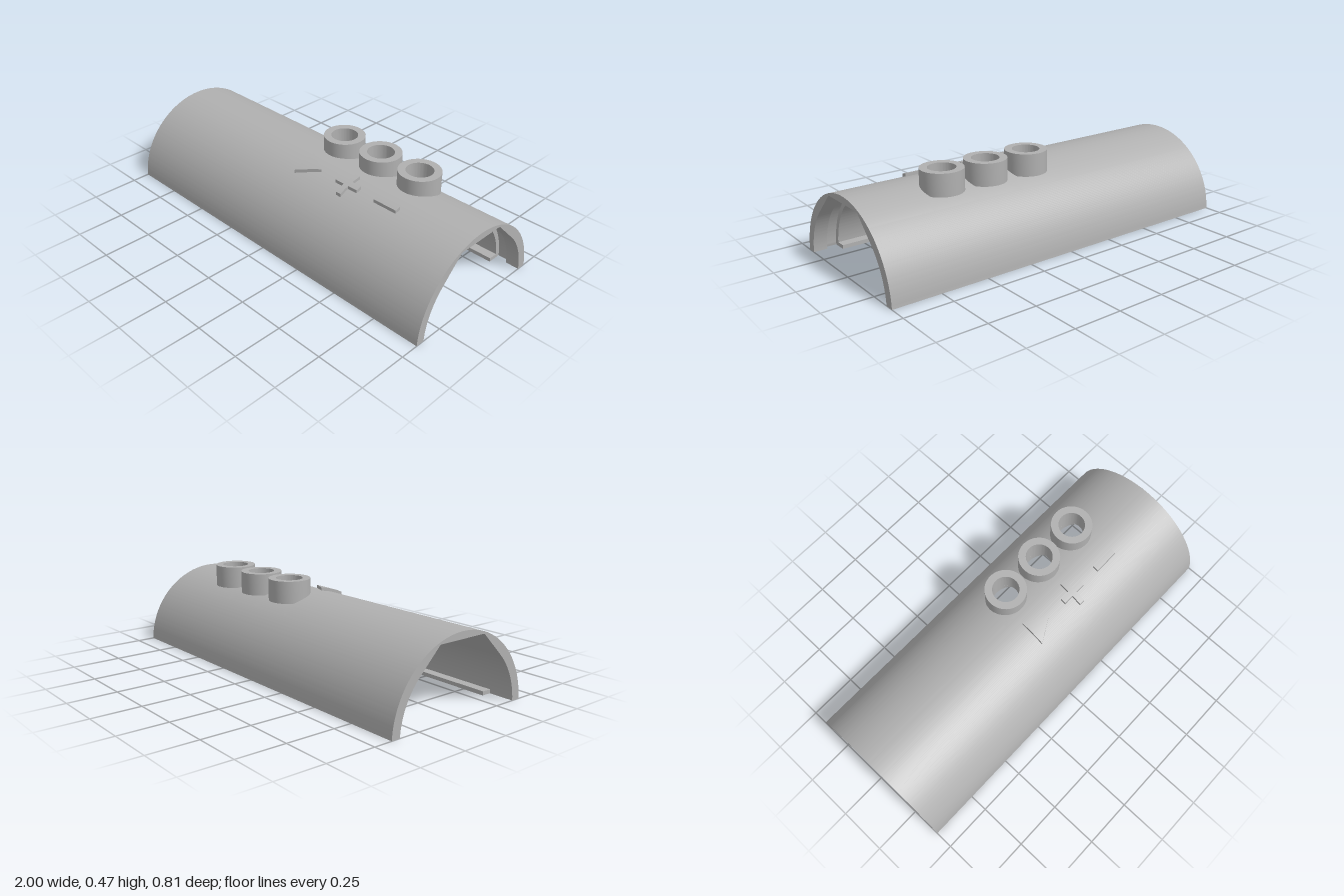
import * as THREE from 'three';
import { mergeGeometries, toCreasedNormals } from 'three/addons/utils/BufferGeometryUtils.js';

const CY = -0.015;                       // height of the tube axis
const RO = 0.407, RI = 0.361, RG = 0.385; // outer, inner and groove radii
const ROOF = 0.372;                      // flat ceiling above the axis
const HOLE_X = [0.06, 0.305, 0.55], HOLE_Z = -0.116, HALF = 0.1225;
const BORE = 0.068, BUTTON = 0.106, BUTTON_LOW = 0.357, BUTTON_TOP = 0.47;
const GROOVE = [0.87, 0.93];

// Inner wall: arc, then 45 degree tangents, cut off by a flat ceiling
const innerR = (t) => {
  const a = Math.min(t, Math.PI - t);
  const r = a < Math.PI / 4 ? RI : RI / Math.cos(a - Math.PI / 4);
  return Math.min(r, ROOF / Math.max(Math.sin(a), 0.01));
};
const grooveR = (t) => Math.max(innerR(t), RG);
const outerR = () => RO;

// The same surfaces as heights over z, measured from the axis
const outerH = (z) => Math.sqrt(RO * RO - z * z);
const innerH = (z) => Math.min(ROOF, RI * Math.SQRT2 - Math.abs(z));

// Regular grid surface: fn(u, v) returns [x, y, z]
function grid(nu, nv, fn) {
  const pos = [], idx = [];
  for (let i = 0; i <= nu; i++) {
    for (let j = 0; j <= nv; j++) {
      pos.push(...fn(i / nu, j / nv));
      if (i < nu && j < nv) {
        const a = i * (nv + 1) + j, b = a + nv + 1;
        idx.push(a, b, a + 1, b, b + 1, a + 1);
      }
    }
  }
  const g = new THREE.BufferGeometry();
  g.setAttribute('position', new THREE.Float32BufferAttribute(pos, 3));
  g.setIndex(idx);
  return g;
}

const polar = (x, r, t) => [x, Math.max(0, CY + r * Math.sin(t)), r * Math.cos(t)];
const steps = (t0, t1) => Math.max(2, Math.round((t1 - t0) / 0.02));

// Lengthwise piece of wall between two angles
const wall = (R, t0, t1, x0, x1) => grid(steps(t0, t1), 1, (u, v) => {
  const t = t0 + (t1 - t0) * u;
  return polar(x0 + (x1 - x0) * v, R(t), t);
});

// Crosswise face between two radial profiles
const ringFace = (x, Ra, Rb) => grid(180, 1, (u, v) => {
  const t = Math.PI * u;
  return polar(x, Ra(t) + (Rb(t) - Ra(t)) * v, t);
});

// Square patch of wall with a round hole
const holePatch = (xc, H) => grid(64, 8, (u, v) => {
  const a = u * Math.PI * 2, c = Math.cos(a), s = Math.sin(a);
  const r = BORE + (HALF / Math.max(Math.abs(c), Math.abs(s)) - BORE) * v;
  const z = HOLE_Z + r * s;
  return [xc + r * c, CY + H(z), z];
});

// A whole wall surface: front, back, and the top band around the holes
function skin(R, H, spans) {
  const zF = HOLE_Z + HALF, zB = HOLE_Z - HALF;
  const tF = Math.atan2(H(zF), zF), tB = Math.atan2(H(zB), zB);
  const x0 = HOLE_X[0] - HALF, x1 = HOLE_X[2] + HALF;
  const parts = HOLE_X.map((x) => holePatch(x, H));
  for (const [a, b, rad] of spans) {
    const q = Math.PI / 4;
    parts.push(wall(rad, 0, q, a, b), wall(rad, q, tF, a, b), wall(rad, tB, Math.PI, a, b));
    if (a < x0) parts.push(wall(rad, tF, tB, a, x0));
    if (b > x1) parts.push(wall(rad, tF, tB, Math.max(a, x1), b));
  }
  return toCreasedNormals(mergeGeometries(parts), 0.5);
}

// Box whose top and bottom follow the outer curve
function raisedBar(x, z, w, d, taper = false) {
  const g = new THREE.BoxGeometry(w, 1, d, 1, 1, 12);
  const p = g.attributes.position;
  for (let i = 0; i < p.count; i++) {
    const t = Math.abs(p.getZ(i)) / (d / 2);
    let px = p.getX(i);
    if (taper && px > 0) px = -w / 2 + w * (1 - t);
    const pz = z + p.getZ(i);
    const r = p.getY(i) > 0 ? RO + 0.016 : RO - 0.008;
    p.setXYZ(i, x + px, CY + Math.sqrt(r * r - pz * pz), pz);
  }
  return toCreasedNormals(g, 0.5);
}

export function createModel() {
  const model = new THREE.Group();
  const grey = new THREE.MeshStandardMaterial({ color: 0xb0b0b0, side: THREE.DoubleSide });
  grey.name = 'grey';
  const add = (name, geo, parent = model) => {
    const m = new THREE.Mesh(geo, grey);
    m.name = name;
    parent.add(m);
    return m;
  };

  // Half-tube shell
  const shell = new THREE.Group();
  shell.name = 'shell';
  model.add(shell);
  add('outerWall', skin(outerR, outerH, [[-1, 1, outerR]]), shell);
  add('innerWall', skin(innerR, innerH, [
    [-1, GROOVE[0], innerR], [GROOVE[0], GROOVE[1], grooveR], [GROOVE[1], 1, innerR],
  ]), shell);
  for (const x of [-1, 1]) add('endFace', toCreasedNormals(ringFace(x, innerR, outerR), 0.5), shell);
  for (const x of GROOVE) add('grooveSide', toCreasedNormals(ringFace(x, innerR, grooveR), 0.5), shell);

  // Bottom edges, narrower where the groove runs out, and inner ledges
  for (const s of [1, -1]) {
    for (const [a, b, r] of [[-1, GROOVE[0], RI], [GROOVE[0], GROOVE[1], RG], [GROOVE[1], 1, RI]]) {
      add('bottomEdge', toCreasedNormals(grid(1, 1, (u, v) =>
        [a + (b - a) * u, 0, s * (r + (RO - r) * v)]), 0.5), shell);
    }
    add('ledge', new THREE.BoxGeometry(1.74, 0.02, 0.052)).position.set(0, 0.01, s * 0.336);
  }

  // Button collars with bores through the shell
  for (const x of HOLE_X) {
    const collar = new THREE.Group();
    collar.name = 'buttonCollar';
    model.add(collar);
    const profile = [[BORE, BUTTON_LOW], [BUTTON, BUTTON_LOW], [BUTTON, BUTTON_TOP], [BORE, BUTTON_TOP]]
      .map(([r, y]) => new THREE.Vector2(r, y));
    add('collarRing', toCreasedNormals(new THREE.LatheGeometry(profile, 48), 0.5), collar)
      .position.set(x, 0, HOLE_Z);
    add('bore', toCreasedNormals(grid(64, 1, (u, v) => {
      const a = u * Math.PI * 2, z = HOLE_Z + BORE * Math.sin(a), y = CY + innerH(z);
      return [x + BORE * Math.cos(a), y + (BUTTON_TOP - y) * v, z];
    }), 0.5), collar);
  }

  // Raised symbols in front of the collars
  add('triangleMark', raisedBar(0.065, 0.117, 0.122, 0.136, true));
  add('plusUpright', raisedBar(0.305, 0.115, 0.03, 0.136));
  for (const s of [-1, 1]) add('plusArm', raisedBar(0.305 + s * 0.0425, 0.115, 0.055, 0.03));
  add('minusMark', raisedBar(0.55, 0.115, 0.136, 0.03));

  return model;
}
